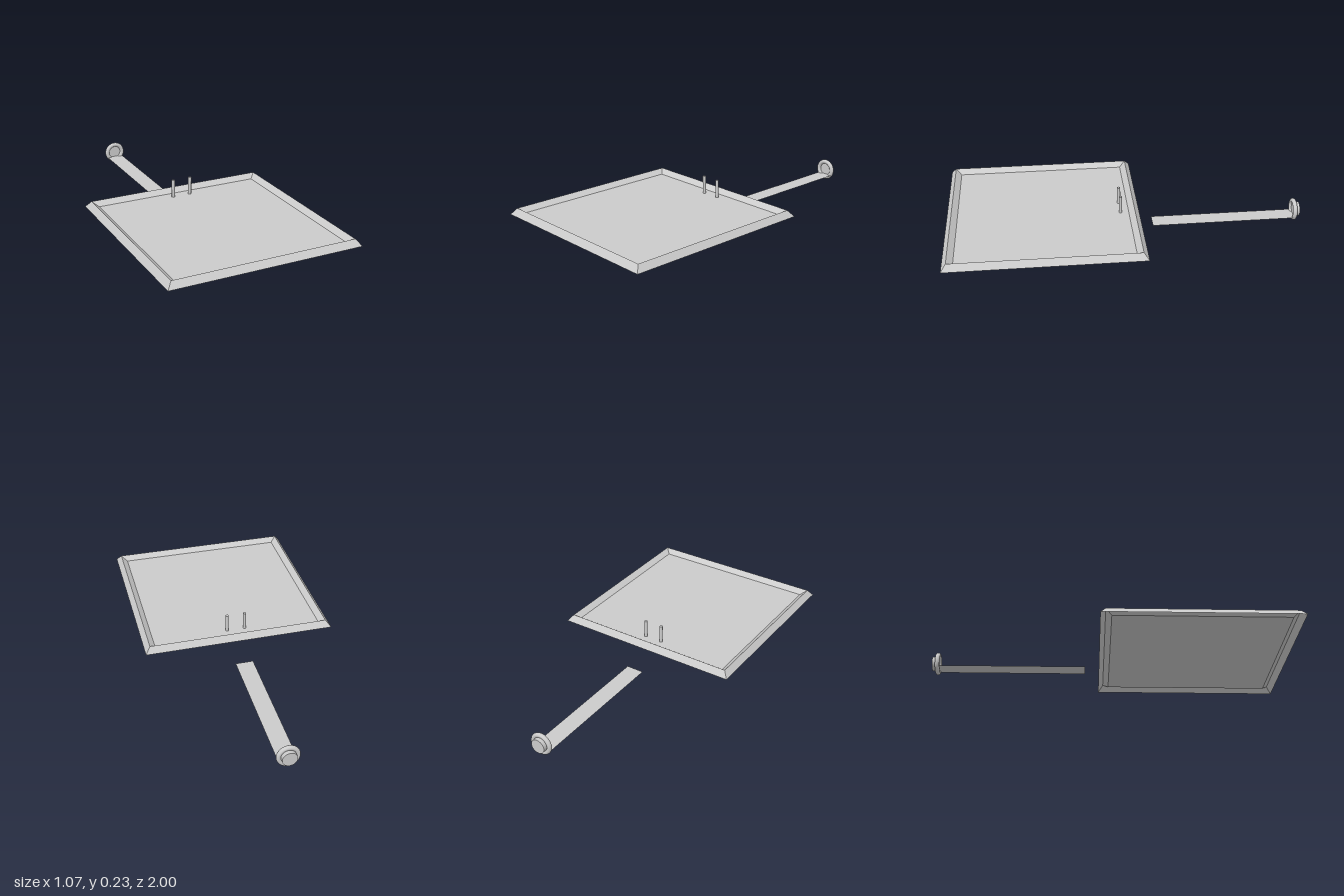
import * as THREE from 'three';

export function createModel() {
  const model = new THREE.Group();
  const smooth = new THREE.MeshStandardMaterial({ color: 0xcccccc });
  const flat = new THREE.MeshStandardMaterial({ color: 0xcccccc, flatShading: true, side: THREE.DoubleSide });

  function add(name, geometry, material, x, y, z, parent = model) {
    const mesh = new THREE.Mesh(geometry, material);
    mesh.name = name;
    mesh.position.set(x, y, z);
    parent.add(mesh);
    return mesh;
  }

  // Square tray: a ridged, hollow rim around a thin floor
  const tray = new THREE.Group();
  tray.name = 'tray';
  tray.position.z = 0.465;
  model.add(tray);
  const rimProfile = [[0.535, 0.125], [0.507, 0.16], [0.475, 0.135]]
    .map(([half, y]) => new THREE.Vector2(half * Math.SQRT2, y));
  add('trayRim', new THREE.LatheGeometry(rimProfile, 4, Math.PI / 4), flat, 0, 0, 0, tray);
  add('trayFloor', new THREE.PlaneGeometry(0.95, 0.95).rotateX(-Math.PI / 2), flat, 0, 0.135, 0, tray);

  // Pair of upright pegs near the back edge
  for (const side of [-1, 1]) {
    add(side > 0 ? 'leftPeg' : 'rightPeg', new THREE.CylinderGeometry(0.009, 0.009, 0.1, 16),
      smooth, side * 0.051, 0.185, 0.036);
  }

  // Thin flat strip behind the tray
  add('strip', new THREE.PlaneGeometry(0.1, 0.82).rotateX(-Math.PI / 2), flat, 0, 0.033, -0.56);

  // Ring with a round plug at the end of the strip
  add('ring', new THREE.TorusGeometry(0.05, 0.0125, 16, 48), smooth, 0, 0.0635, -0.97);
  add('plug', new THREE.CylinderGeometry(0.04, 0.04, 0.03, 32).rotateX(Math.PI / 2), smooth, 0, 0.0635, -0.985);

  return model;
}
